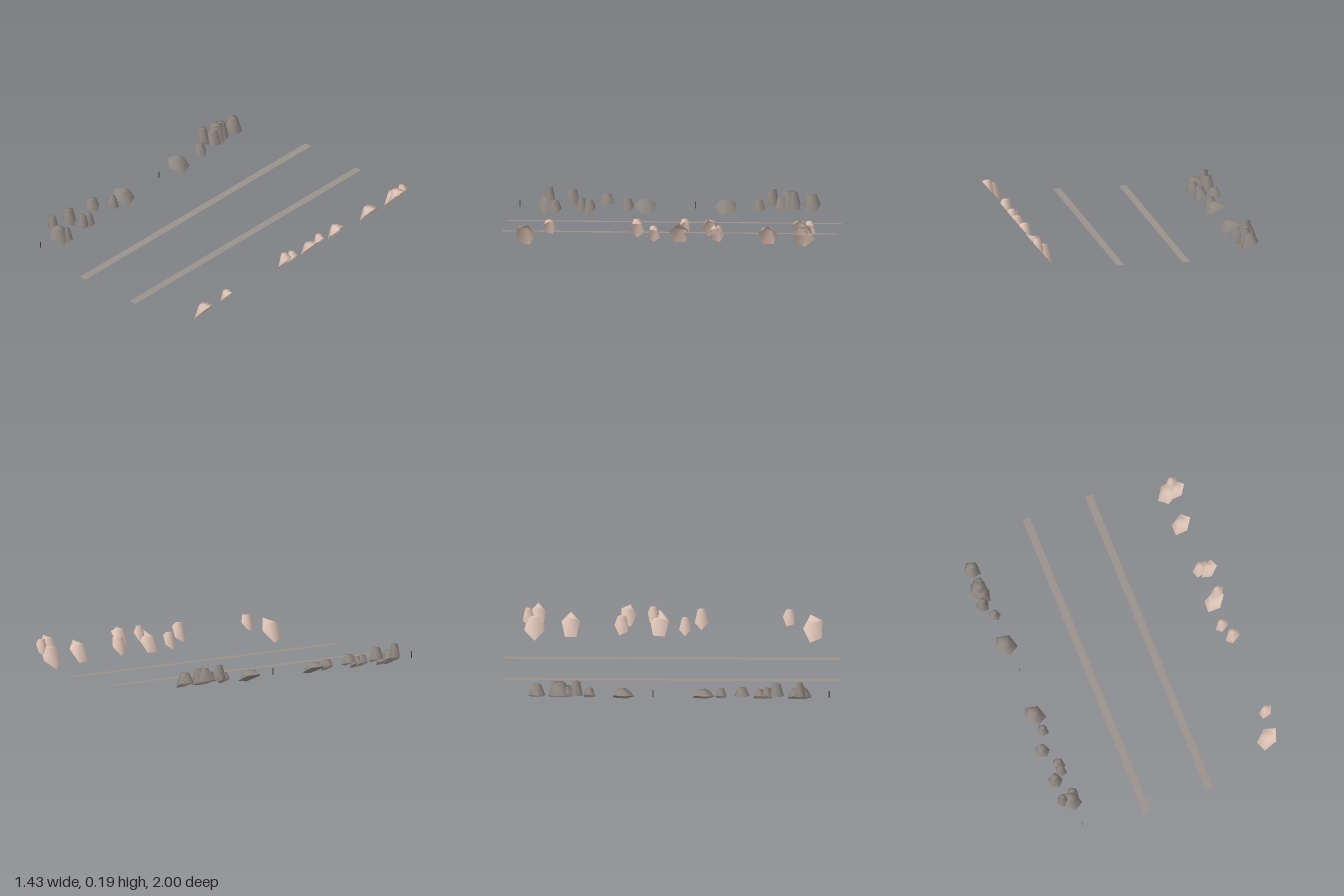
import * as THREE from 'three';
import { mergeVertices } from 'three/addons/utils/BufferGeometryUtils.js';

export function createModel() {
  const model = new THREE.Group();
  const mat = (name, color) => {
    const m = new THREE.MeshStandardMaterial({ color, side: THREE.DoubleSide });
    m.name = name;
    return m;
  };
  const pinkStone = mat('pinkStone', 0xdcc2b5);
  const greyStone = mat('greyStone', 0x8e8781);
  const railGrey = mat('railGrey', 0x9b928c);
  const postDark = mat('postDark', 0x55504c);

  // Ground height under each row of rocks
  const pinkSlope = (x) => Math.max(0, (x - 0.555) * 1.18);
  const greySlope = (x) => {
    const d = -x;
    if (d < 0.65) return Math.max(0.015, 0.015 + (d - 0.555) * 0.56);
    return 0.068 + (d - 0.65) * 0.2;
  };

  // Five-sided hollow rock with smooth normals: foot follows the slope, top is level
  function rock(name, material, slope, [x, z, r, top, angle]) {
    const profile = [[r, 0], [r * 0.55, 1], [0, 1]].map(([a, b]) => new THREE.Vector2(a, b));
    let geo = new THREE.LatheGeometry(profile, 5);
    geo.rotateY(THREE.MathUtils.degToRad(90 - angle));
    const p = geo.attributes.position;
    for (let i = 0; i < p.count; i++) {
      p.setY(i, p.getY(i) > 0.5 ? top : slope(x + p.getX(i)));
    }
    geo.deleteAttribute('uv');
    geo.deleteAttribute('normal');
    geo = mergeVertices(geo, 1e-5);
    geo.computeVertexNormals();
    const mesh = new THREE.Mesh(geo, material);
    mesh.name = name;
    mesh.position.set(x, 0, z);
    model.add(mesh);
  }

  // Each rock: x, z, radius, top height, angle of one corner from +x towards +z
  const greyRocks = [
    [-0.643, -0.797, 0.054, 0.130, 180],
    [-0.650, -0.66, 0.064, 0.145, 90],
    [-0.640, -0.69, 0.045, 0.145, 20],
    [-0.640, -0.62, 0.050, 0.120, 50],
    [-0.667, -0.56, 0.042, 0.157, 60],
    [-0.620, -0.485, 0.038, 0.100, 0],
    [-0.625, -0.287, 0.071, 0.092, 90],
    [-0.627, 0.193, 0.069, 0.092, 90],
    [-0.615, 0.30, 0.037, 0.100, 180],
    [-0.667, 0.425, 0.047, 0.122, 75],
    [-0.603, 0.53, 0.041, 0.090, 30],
    [-0.605, 0.575, 0.036, 0.100, 100],
    [-0.665, 0.632, 0.046, 0.145, 0],
    [-0.617, 0.777, 0.064, 0.105, 90],
    [-0.670, 0.77, 0.036, 0.155, 170],
    [-0.593, 0.735, 0.040, 0.090, 40],
  ];
  const pinkRocks = [
    [0.621, -0.828, 0.064, 0.130, 180],
    [0.666, -0.807, 0.050, 0.175, 0],
    [0.655, -0.865, 0.036, 0.175, 30],
    [0.621, -0.612, 0.058, 0.125, 0],
    [0.624, -0.307, 0.045, 0.138, -90],
    [0.664, -0.271, 0.050, 0.175, 90],
    [0.628, -0.084, 0.060, 0.122, 75],
    [0.664, -0.12, 0.036, 0.182, 0],
    [0.617, 0.07, 0.038, 0.130, 180],
    [0.648, 0.167, 0.043, 0.175, 180],
    [0.657, 0.69, 0.039, 0.168, 60],
    [0.612, 0.836, 0.063, 0.115, -90],
  ];
  greyRocks.forEach((r, i) => rock(`greyRock${i + 1}`, greyStone, greySlope, r));
  pinkRocks.forEach((r, i) => rock(`pinkRock${i + 1}`, pinkStone, pinkSlope, r));

  // Two long flat rails
  for (const x of [-0.22, 0.18]) {
    const geo = new THREE.PlaneGeometry(0.046, 2).rotateX(-Math.PI / 2);
    const rail = new THREE.Mesh(geo, railGrey);
    rail.name = 'rail';
    rail.position.set(x, 0.024, 0);
    model.add(rail);
  }

  // Small thin marker posts beside the grey rocks
  for (const z of [-0.105, 0.945]) {
    const geo = new THREE.PlaneGeometry(0.007, 0.042).rotateY(Math.PI / 2);
    const post = new THREE.Mesh(geo, postDark);
    post.name = 'markerPost';
    post.position.set(-0.61, 0.066, z);
    model.add(post);
  }
  return model;
}
